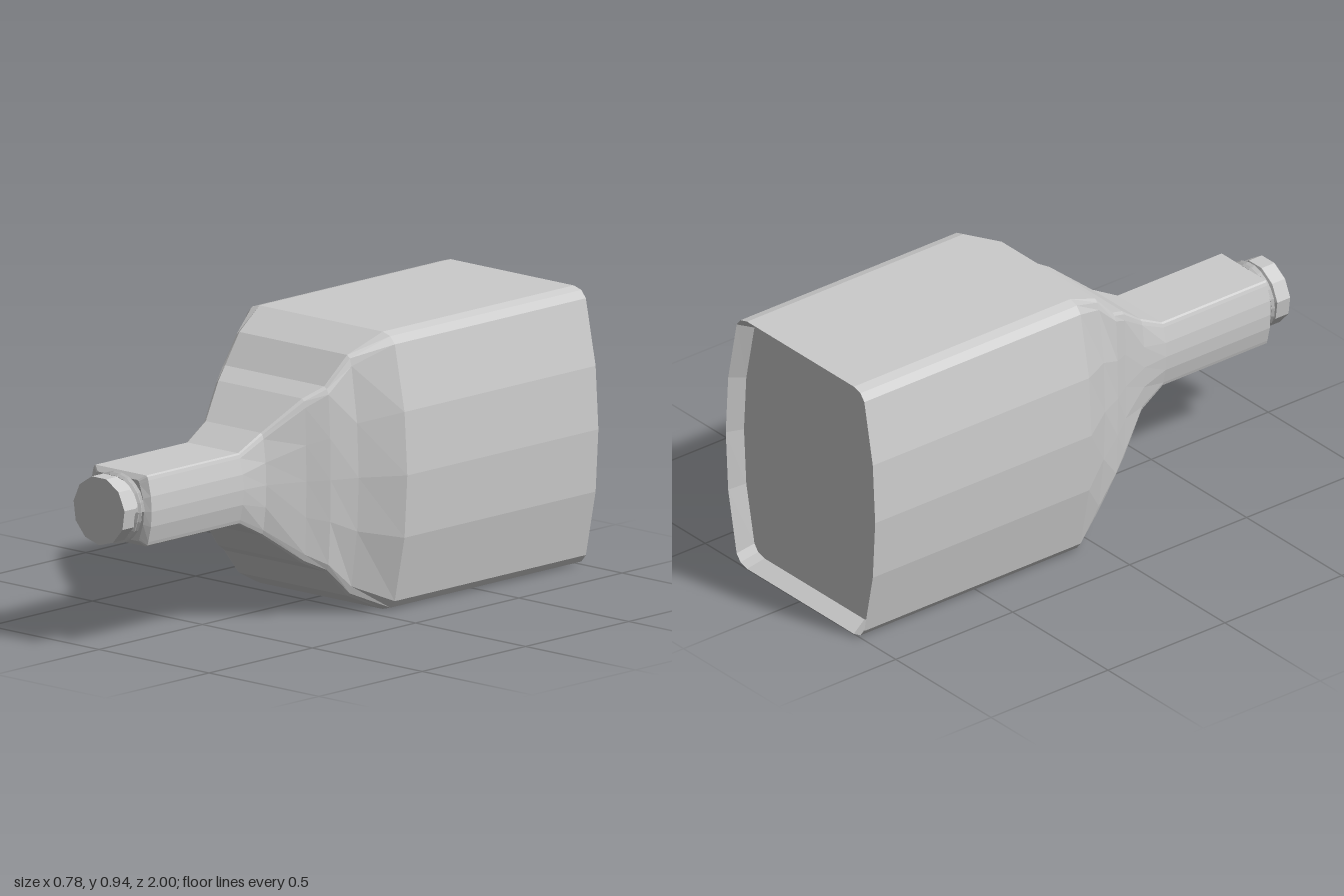
import * as THREE from 'three';

const CY = 0.473; // height of the bottle's long axis

// Closed outline: flat top and bottom, bevelled corners, bulging sides.
function outline([z, flatX, h, cornerX, cornerY, midX]) {
  const quarter = [
    [midX, 0],
    [cornerX + (midX - cornerX) * 0.78, cornerY * 0.49],
    [cornerX, cornerY],
    [flatX + (cornerX - flatX) * 0.63, cornerY + (h - cornerY) * 0.72],
    [flatX, h],
  ];
  const left = quarter.slice(1).map(([x, y]) => [-x, y]).reverse();
  const upper = [...quarter, ...left, [-midX, 0]];
  const lower = upper.slice(1, -1).map(([x, y]) => [x, -y]).reverse();
  return [...upper, ...lower].map(([x, y]) => new THREE.Vector3(x, y + CY, z));
}

// Skin through consecutive sections, ordered back to front, with optional end caps.
function loft(sections, capStart, capEnd) {
  const rings = sections.map(outline);
  const n = rings[0].length;
  const pos = [];
  const tri = (a, b, c) => [a, b, c].forEach((p) => pos.push(p.x, p.y, p.z));
  for (let i = 0; i < rings.length - 1; i++) {
    for (let j = 0; j < n; j++) {
      const k = (j + 1) % n;
      tri(rings[i][j], rings[i][k], rings[i + 1][k]);
      tri(rings[i][j], rings[i + 1][k], rings[i + 1][j]);
    }
  }
  const cap = (ring, front) => {
    const c = new THREE.Vector3(0, CY, ring[0].z);
    for (let j = 0; j < n; j++) {
      const k = (j + 1) % n;
      if (front) tri(c, ring[j], ring[k]);
      else tri(c, ring[k], ring[j]);
    }
  };
  if (capStart) cap(rings[0], false);
  if (capEnd) cap(rings[rings.length - 1], true);
  const g = new THREE.BufferGeometry();
  g.setAttribute('position', new THREE.Float32BufferAttribute(pos, 3));
  g.computeVertexNormals();
  return g;
}

export function createModel() {
  const group = new THREE.Group();
  const material = new THREE.MeshStandardMaterial({
    color: 0xcccccc, flatShading: true, side: THREE.DoubleSide,
  });
  const add = (name, geometry) => {
    const mesh = new THREE.Mesh(geometry, material);
    mesh.name = name;
    group.add(mesh);
    return mesh;
  };

  // Body, shoulders and square neck; the first section is the recessed base
  // z, flat half-width, half-height, corner x, corner y, side bulge x
  add('bottleBody', loft([
    [-0.94, 0.262, 0.446, 0.315, 0.412, 0.37],
    [-1.0, 0.28, 0.472, 0.335, 0.437, 0.392],
    [-0.075, 0.28, 0.472, 0.335, 0.437, 0.392],
    [0.06, 0.245, 0.41, 0.265, 0.375, 0.298],
    [0.15, 0.225, 0.315, 0.245, 0.29, 0.255],
    [0.22, 0.19, 0.28, 0.205, 0.25, 0.21],
    [0.35, 0.125, 0.175, 0.137, 0.155, 0.15],
    [0.45, 0.115, 0.121, 0.125, 0.105, 0.141],
    [0.895, 0.115, 0.121, 0.125, 0.105, 0.141],
    [0.91, 0.09, 0.104, 0.1, 0.09, 0.12],
  ], true, true));

  // Round mouth with a solid stopper face
  const profile = [[0.104, 0.9], [0.104, 0.94], [0.117, 0.945], [0.117, 1.0], [0, 1.0]];
  const mouth = add('mouth', new THREE.LatheGeometry(
    profile.map(([r, z]) => new THREE.Vector2(r, z)), 11));
  mouth.rotation.x = Math.PI / 2;
  mouth.position.y = CY;

  // Thin slanted screw thread behind the mouth
  const turn = [];
  for (let i = 0; i <= 22; i++) {
    const a = (i / 11) * Math.PI * 2;
    turn.push(new THREE.Vector3(
      0.004 + 0.113 * Math.cos(a), CY + 0.113 * Math.sin(a), 0.91 + 0.03 * (i / 22)));
  }
  add('screwThread', new THREE.TubeGeometry(new THREE.CatmullRomCurve3(turn), 44, 0.008, 4));

  return group;
}
